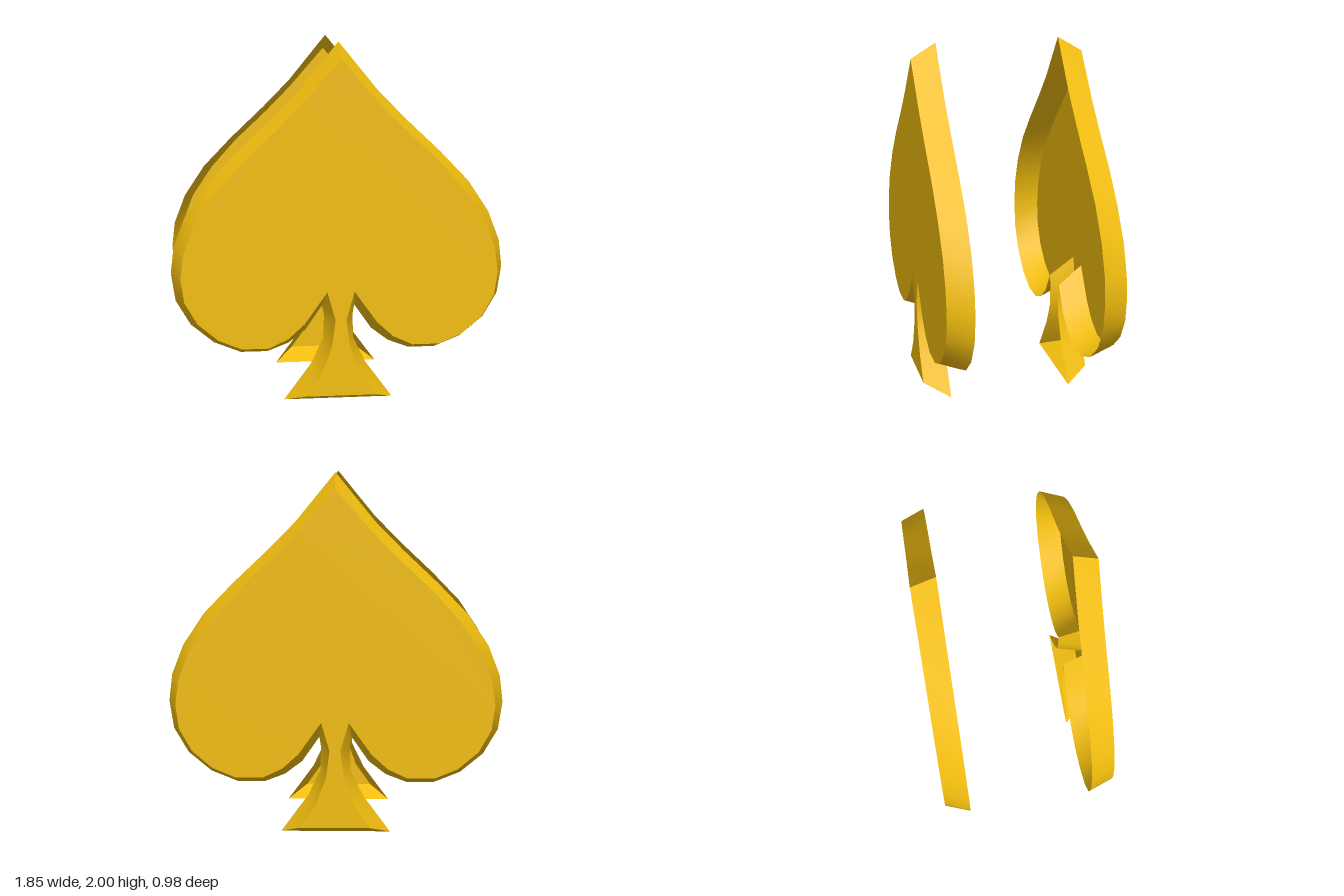
import * as THREE from 'three';
import { toCreasedNormals } from 'three/addons/utils/BufferGeometryUtils.js';

// Half outlines from the top point down to the foot: open rim and smaller cap
const RIM = [
  [0, 2], [0.217, 1.735], [0.37, 1.58], [0.566, 1.395], [0.725, 1.23], [0.841, 1.056], [0.905, 0.891],
  [0.923, 0.743], [0.9, 0.589], [0.82, 0.451], [0.693, 0.345], [0.545, 0.285], [0.397, 0.285], [0.28, 0.33],
  [0.185, 0.403], [0.09, 0.54], [0.08, 0.48], [0.085, 0.35], [0.153, 0.207], [0.305, 0],
];
const CAP = [
  [0, 1.915], [0.2, 1.687], [0.34, 1.545], [0.534, 1.363], [0.677, 1.204], [0.794, 1.03], [0.852, 0.875],
  [0.87, 0.743], [0.852, 0.61], [0.783, 0.488], [0.672, 0.393], [0.545, 0.34], [0.397, 0.34], [0.29, 0.39],
  [0.2, 0.472], [0.075, 0.648], [0.03, 0.49], [0.048, 0.345], [0.106, 0.186], [0.196, 0.058],
];
const RIM_Z = 0.35;
const CAP_Z = 0.49;

// Mirror a half outline into a full counter-clockwise loop
function fullLoop(half) {
  const left = half.map(([x, y]) => new THREE.Vector2(-x, y));
  const right = half.slice(1).reverse().map(([x, y]) => new THREE.Vector2(x, y));
  return [...left, ...right];
}

// Sloped wall joining the rim loop to the cap loop
function bevelGeometry(rim, cap) {
  const positions = [];
  const n = rim.length;
  for (let i = 0; i < n; i++) {
    const j = (i + 1) % n;
    const a = [rim[i].x, rim[i].y, RIM_Z];
    const b = [rim[j].x, rim[j].y, RIM_Z];
    const c = [cap[j].x, cap[j].y, CAP_Z];
    const d = [cap[i].x, cap[i].y, CAP_Z];
    positions.push(...a, ...b, ...c, ...a, ...c, ...d);
  }
  const geometry = new THREE.BufferGeometry();
  geometry.setAttribute('position', new THREE.Float32BufferAttribute(positions, 3));
  return toCreasedNormals(geometry, Math.PI / 5);
}

export function createModel() {
  const model = new THREE.Group();
  model.name = 'spade';
  const gold = new THREE.MeshStandardMaterial({ color: 0xf1bd0f, side: THREE.DoubleSide });

  const rim = fullLoop(RIM);
  const cap = fullLoop(CAP);
  const faceGeometry = new THREE.ShapeGeometry(new THREE.Shape(cap)).translate(0, 0, CAP_Z);
  const wallGeometry = bevelGeometry(rim, cap);

  // Two hollow shells, open towards each other
  for (const [name, turn] of [['frontShell', 0], ['backShell', Math.PI]]) {
    const shell = new THREE.Group();
    shell.name = name;
    const face = new THREE.Mesh(faceGeometry, gold);
    face.name = 'face';
    const bevel = new THREE.Mesh(wallGeometry, gold);
    bevel.name = 'bevel';
    shell.add(face, bevel);
    shell.rotation.y = turn;
    model.add(shell);
  }
  return model;
}
